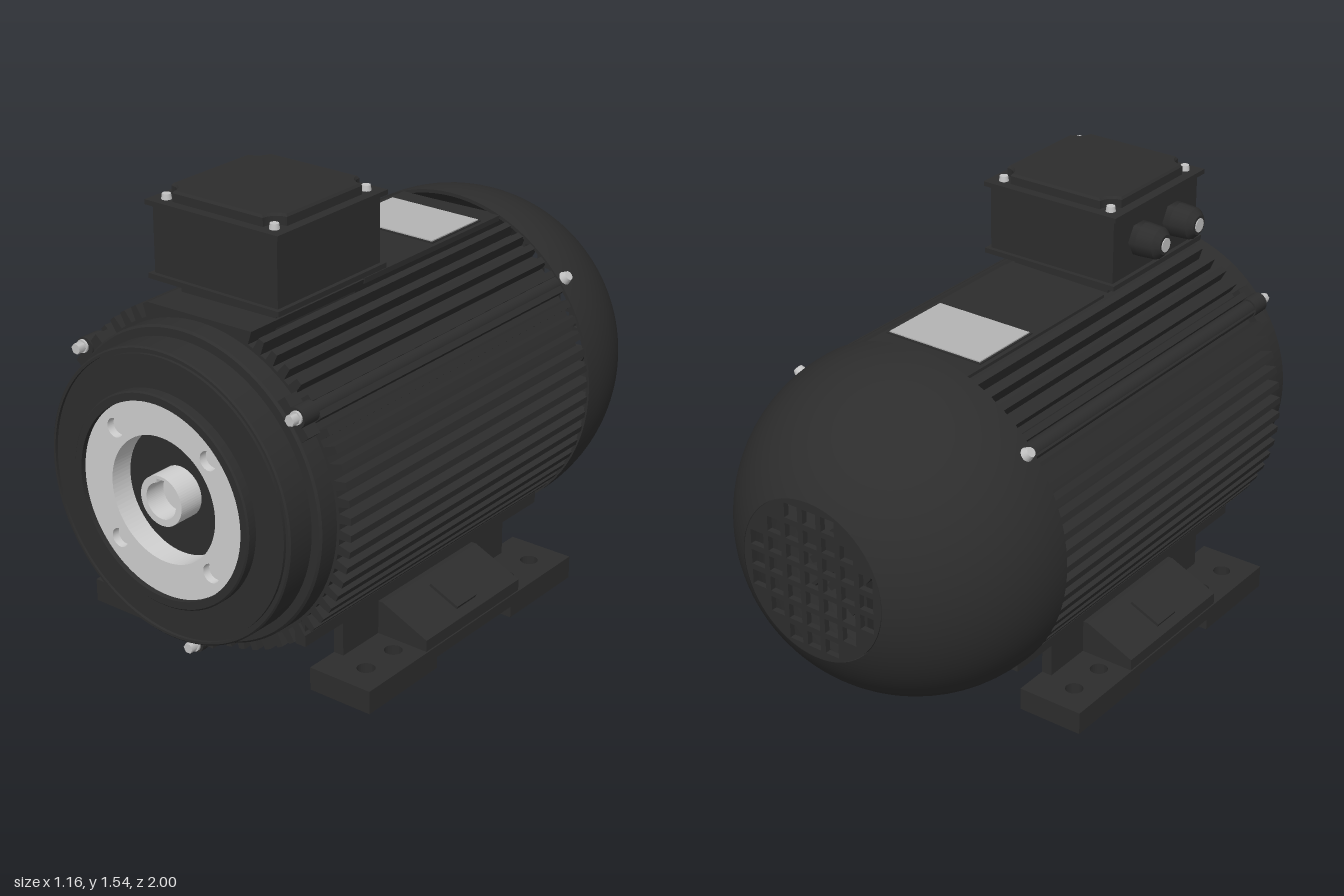
import * as THREE from 'three';
import { toCreasedNormals } from 'three/addons/utils/BufferGeometryUtils.js';

const material = (name, color) => {
  const m = new THREE.MeshStandardMaterial({ color });
  m.name = name;
  return m;
};

export function createModel() {
  const black = material('blackPaint', 0x2d2d2d);
  const steel = material('machinedSteel', 0xcecece);
  const zinc = material('zincScrew', 0xc4c4c4);
  const label = material('labelGrey', 0xb4b4b4);
  const AXIS = 0.665;
  const model = new THREE.Group();
  model.name = 'electricMotor';

  const add = (parent, name, geo, mat, x = 0, y = 0, z = 0) => {
    const mesh = new THREE.Mesh(geo, mat);
    mesh.name = name;
    mesh.position.set(x, y, z);
    parent.add(mesh);
    return mesh;
  };
  // Box given by its limits on each axis
  const box = (parent, name, mat, x0, x1, y0, y1, z0, z1) =>
    add(parent, name, new THREE.BoxGeometry(x1 - x0, y1 - y0, z1 - z0), mat,
      (x0 + x1) / 2, (y0 + y1) / 2, (z0 + z1) / 2);
  // Profile of [radius, z] turned around the motor axis
  const turned = (points, segments = 96) => toCreasedNormals(
    new THREE.LatheGeometry(points.map(p => new THREE.Vector2(...p)), segments).rotateX(Math.PI / 2), 0.5);
  const extrude = (shape, depth, curveSegments = 32) =>
    new THREE.ExtrudeGeometry(shape, { depth, bevelEnabled: false, curveSegments });
  const circle = (r, x = 0, y = 0, C = THREE.Path) => new C().absarc(x, y, r, 0, Math.PI * 2, false);
  const polygon = points => new THREE.Shape(points.map(p => new THREE.Vector2(...p)));
  const rad = THREE.MathUtils.degToRad;

  // Finned housing with a flat top
  const outline = [];
  const fins = 56, start = -248, step = 318 / fins;
  for (let i = 0; i < fins; i++) {
    for (const [t, r] of [[0, 0.574], [0.4, 0.574], [0.5, 0.53], [0.9, 0.53]]) {
      const a = rad(start + (i + t) * step);
      outline.push([r * Math.cos(a), Math.min(r * Math.sin(a), 0.54)]);
    }
  }
  outline.push([0.2, 0.54]);
  add(model, 'finnedHousing', extrude(polygon(outline), 1.29), black, 0, AXIS, -0.5);

  // Front end bell
  add(model, 'frontEndBell', turned([
    [0.3, 0.78], [0.52, 0.78], [0.52, 0.858], [0.513, 0.865], [0.485, 0.865], [0.485, 0.96], [0.48, 0.965],
    [0.472, 0.965], [0.472, 0.955], [0.462, 0.955], [0.462, 0.965], [0.355, 0.965], [0.355, 0.995], [0.35, 1],
    [0.325, 1], [0.325, 0.9], [0, 0.9]]), black, 0, AXIS, 0);

  // Machined mounting ring with four blind holes
  const ring = circle(0.325, 0, 0, THREE.Shape);
  ring.holes.push(circle(0.21));
  for (const x of [-0.188, 0.188]) for (const y of [-0.188, 0.188]) ring.holes.push(circle(0.032, x, y));
  add(model, 'mountingRing', extrude(ring, 0.08, 48), steel, 0, AXIS, 0.902);
  add(model, 'mountingHoleFloor', new THREE.RingGeometry(0.215, 0.32, 64), steel, 0, AXIS, 0.955);

  // Hollow shaft with a keyway
  const shaft = circle(0.083, 0, 0, THREE.Shape);
  const bore = new THREE.Path().absarc(0, 0, 0.06, rad(105), rad(435), false);
  bore.lineTo(0.0155, 0.072);
  bore.lineTo(-0.0155, 0.072);
  shaft.holes.push(bore);
  add(model, 'hollowShaft', extrude(shaft, 0.095), steel, 0, AXIS, 0.895);
  add(model, 'shaftFloor', new THREE.CircleGeometry(0.075, 32), steel, 0, AXIS, 0.915);

  // Domed fan cover, a shell open towards the housing
  const dome = [];
  const domeRadius = (z, r) => r * Math.sqrt(1 - ((z + 0.5) / 0.568) ** 2);
  for (let i = 0; i <= 20; i++) {
    const z = -0.5 - 0.5 * Math.sin((1 - i / 20) * Math.PI / 2);
    dome.push([domeRadius(z, 0.58), z]);
  }
  const inner = dome.map(([r, z]) => [r - 0.012, z]).reverse();
  add(model, 'fanCover', turned([...dome, [0.58, -0.48], [0.568, -0.48], ...inner]), black, 0, AXIS, 0);

  // Rear grille with square openings
  const grille = circle(0.273, 0, 0, THREE.Shape);
  const pitch = 0.072, h = 0.026;
  for (let i = -3; i <= 3; i++) for (let j = -3; j <= 3; j++) {
    const x = i * pitch, y = j * pitch;
    if (Math.hypot(Math.abs(x) + h, Math.abs(y) + h) > 0.267) continue;
    const hole = new THREE.Path();
    hole.moveTo(x - h, y - h).lineTo(x + h, y - h).lineTo(x + h, y + h).lineTo(x - h, y + h).closePath();
    grille.holes.push(hole);
  }
  add(model, 'fanGrille', extrude(grille, 0.02), black, 0, AXIS, -1);

  // Cooling fan inside the cover
  const fan = new THREE.Group();
  fan.name = 'coolingFan';
  fan.position.set(0, AXIS, -0.68);
  model.add(fan);
  add(fan, 'fanHub', new THREE.CylinderGeometry(0.1, 0.1, 0.3, 24).rotateX(Math.PI / 2), black);
  for (let i = 0; i < 8; i++)
    add(fan, 'fanBlade', new THREE.BoxGeometry(0.3, 0.012, 0.15).translate(0.24, 0, 0), black).rotation.z = i * Math.PI / 4;

  // Tie bars, lugs and screws at three positions around the axis
  for (const deg of [39.5, 140.5, 270]) {
    const station = new THREE.Group();
    station.name = 'fixingStation';
    station.position.y = AXIS;
    station.rotation.z = rad(deg);
    model.add(station);
    const along = (name, mat, r, x, z0, z1, n = 20) => add(station, name,
      new THREE.CylinderGeometry(r, r, z1 - z0, n).rotateX(Math.PI / 2), mat, x, 0, (z0 + z1) / 2);
    along('tieBar', black, 0.03, 0.548, -0.49, 0.8);
    along('lug', black, 0.034, 0.55, 0.79, 0.86);
    box(station, 'lugWeb', black, 0.47, 0.55, -0.07, 0.07, 0.8, 0.855);
    along('frontScrew', zinc, 0.018, 0.557, 0.85, 0.895, 6);
    along('frontWasher', zinc, 0.022, 0.557, 0.858, 0.868);
    add(station, 'coverScrew', new THREE.CylinderGeometry(0.016, 0.024, 0.025, 16).rotateZ(-Math.PI / 2), zinc, 0.589, 0, -0.51);
  }

  // Nameplate on the flat top
  box(model, 'topPanel', black, -0.2, 0.2, 1.19, 1.208, -0.48, 0.25);
  box(model, 'nameplateBacking', black, -0.185, 0.185, 1.2, 1.212, -0.395, -0.125);
  box(model, 'nameplate', label, -0.178, 0.178, 1.21, 1.216, -0.388, -0.132);

  // Terminal box
  const terminal = new THREE.Group();
  terminal.name = 'terminalBox';
  terminal.position.z = 0.475;
  model.add(terminal);
  box(terminal, 'neck', black, -0.19, 0.19, 1.15, 1.26, -0.19, 0.19);
  box(terminal, 'bottomFlange', black, -0.26, 0.26, 1.248, 1.265, -0.26, 0.26);
  box(terminal, 'boxWalls', black, -0.245, 0.245, 1.26, 1.49, -0.245, 0.245);
  box(terminal, 'lidFlange', black, -0.262, 0.262, 1.487, 1.503, -0.262, 0.262);
  const a = 0.228, n = 0.05;
  const lid = new THREE.Shape();
  lid.absarc(a, a, n, rad(270), rad(180), true);
  lid.absarc(-a, a, n, 0, rad(-90), true);
  lid.absarc(-a, -a, n, rad(90), 0, true);
  lid.absarc(a, -a, n, rad(180), rad(90), true);
  lid.closePath();
  add(terminal, 'raisedLid', new THREE.ExtrudeGeometry(lid, {
    depth: 0.028, bevelThickness: 0.008, bevelSize: 0.006, bevelOffset: -0.006, bevelSegments: 1, curveSegments: 8
  }).rotateX(-Math.PI / 2), black, 0, 1.503, 0);
  for (const x of [-0.213, 0.213]) for (const z of [-0.217, 0.217])
    add(terminal, 'lidScrew', new THREE.CylinderGeometry(0.014, 0.017, 0.02, 16), zinc, x, 1.511, z);

  // Cable glands on the right side
  for (const z of [-0.102, 0.098]) {
    const gland = new THREE.Group();
    gland.name = 'cableGland';
    gland.position.set(-0.245, 1.38, z);
    gland.rotation.z = Math.PI / 2;
    terminal.add(gland);
    add(gland, 'glandCollar', new THREE.CylinderGeometry(0.058, 0.058, 0.026, 6), black, 0, 0.013, 0);
    add(gland, 'glandNut', new THREE.CylinderGeometry(0.054, 0.058, 0.06, 12), black, 0, 0.056, 0);
    add(gland, 'glandTip', new THREE.CylinderGeometry(0.034, 0.054, 0.02, 12), black, 0, 0.096, 0);
    add(gland, 'glandOpening', new THREE.CylinderGeometry(0.024, 0.024, 0.004, 16), zinc, 0, 0.107, 0);
  }

  // Mounting feet, mirrored left and right
  for (const side of [1, -1]) {
    const foot = new THREE.Group();
    foot.name = side > 0 ? 'leftFoot' : 'rightFoot';
    foot.scale.x = side;
    model.add(foot);
    for (const z of [0.535, -0.225]) {
      const pad = polygon([[0.345, -0.175], [0.58, -0.175], [0.58, 0.175], [0.345, 0.175]]);
      for (const y of [-0.07, 0.07]) pad.holes.push(circle(0.03, 0.485, y));
      add(foot, 'footPad', extrude(pad, 0.08, 12).rotateX(-Math.PI / 2), black, 0, 0, z);
    }
    box(foot, 'footBridge', black, 0.345, 0.58, 0.04, 0.08, -0.05, 0.36);
    box(foot, 'footWeb', black, 0.345, 0.382, 0.04, 0.3, -0.28, 0.59);
    box(foot, 'footRail', black, 0.345, 0.385, 0.2, 0.3, -0.47, 0.78);
    const wedge = polygon([[0.35, 0.075], [0.575, 0.075], [0.575, 0.12], [0.4, 0.197], [0.35, 0.197]]);
    add(foot, 'footGusset', extrude(wedge, 0.51), black, 0, 0, -0.1);
    add(foot, 'gussetPlate', new THREE.BoxGeometry(0.12, 0.018, 0.105), black, 0.49, 0.159, 0.155)
      .rotation.z = -Math.atan2(0.077, 0.175);
  }
  return model;
}
